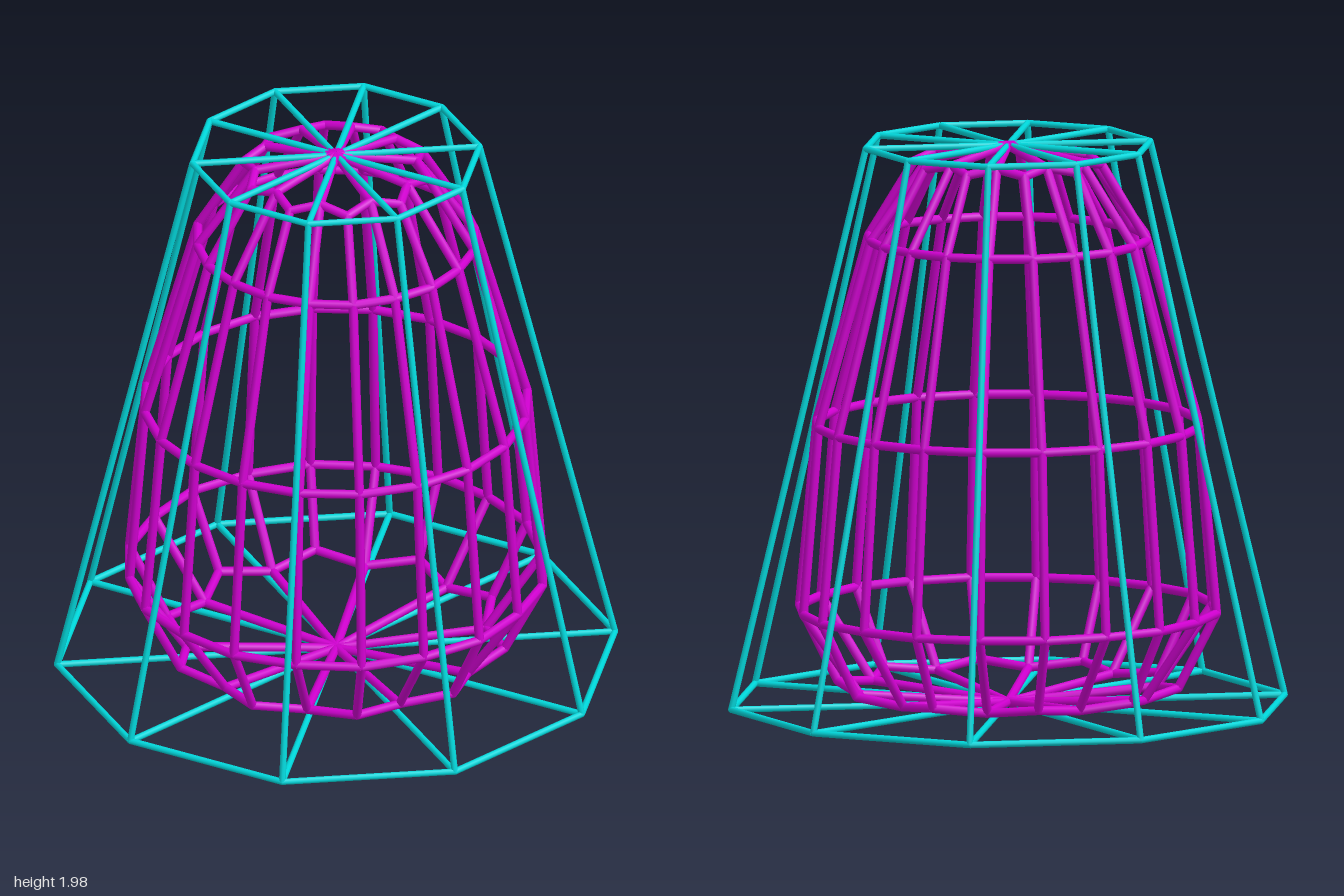
import * as THREE from 'three';
import { mergeGeometries } from 'three/addons/utils/BufferGeometryUtils.js';

const SIDES = 10;
const UP = new THREE.Vector3(0, 1, 0);

// Point on a ring: radius, height and step around the axis (half steps allowed)
function ringPoint([r, y], step) {
  const a = (step / SIDES) * Math.PI * 2;
  return new THREE.Vector3(r * Math.sin(a), y, r * Math.cos(a));
}

// Straight round bar between two points
function bar(a, b, radius) {
  const dir = b.clone().sub(a);
  const g = new THREE.CylinderGeometry(radius, radius, dir.length(), 8);
  g.applyQuaternion(new THREE.Quaternion().setFromUnitVectors(UP, dir.normalize()));
  return g.translate((a.x + b.x) / 2, (a.y + b.y) / 2, (a.z + b.z) / 2);
}

// Small ball that closes the gap where bars meet
function joint(p, radius) {
  return new THREE.SphereGeometry(radius, 8, 6).translate(p.x, p.y, p.z);
}

export function createModel() {
  const model = new THREE.Group();
  model.name = 'nestedCages';
  const teal = new THREE.MeshStandardMaterial({ color: 0x00d8dc });
  teal.name = 'turquoise';
  const magenta = new THREE.MeshStandardMaterial({ color: 0xd000d0 });
  magenta.name = 'magenta';

  const add = (name, geometries, material) => {
    const mesh = new THREE.Mesh(mergeGeometries(geometries), material);
    mesh.name = name;
    model.add(mesh);
  };

  // Outer cage: tapered ten-sided prism with spoked ends
  const T = 0.0115;
  const low = [0.972, 0.03], high = [0.5, 1.98];
  const posts = [];
  for (let k = 0; k < SIDES; k++) posts.push(bar(ringPoint(low, k), ringPoint(high, k), T));
  add('outerPosts', posts, teal);
  for (const [name, ring] of [['outerBase', low], ['outerTop', high]]) {
    const parts = [];
    const hub = new THREE.Vector3(0, ring[1], 0);
    for (let k = 0; k < SIDES; k++) {
      const p = ringPoint(ring, k);
      parts.push(bar(p, ringPoint(ring, k + 1), T), bar(hub, p, T), joint(p, T));
    }
    add(name, parts, teal);
  }

  // Inner cage rings, bottom to top: [at the posts], [between the posts]
  const M = 0.016;
  const rings = [
    [[0.521, 0.071], [0.594, 0.091]],
    [[0.719, 0.355], [0.728, 0.355]],
    [[0.666, 1.005], [0.667, 1.005]],
    [[0.483, 1.655], [0.487, 1.655]],
    [[0.282, 1.939], [0.327, 1.919]],
  ];
  const innerPoint = (i, j) => ringPoint(rings[i][j % 2], j / 2);
  const hoops = [], ribs = [];
  rings.forEach((_, i) => {
    for (let j = 0; j < SIDES * 2; j++) {
      const p = innerPoint(i, j);
      hoops.push(bar(p, innerPoint(i, j + 1), M), joint(p, M));
      if (i + 1 < rings.length) ribs.push(bar(p, innerPoint(i + 1, j), M));
    }
  });
  add('innerHoops', hoops, magenta);
  add('innerRibs', ribs, magenta);

  // Inner cage end spokes, meeting on the axis
  for (const [name, i, y] of [['innerBaseSpokes', 0, 0.03], ['innerTopSpokes', 4, 1.98]]) {
    const spokes = [];
    for (let k = 0; k < SIDES; k++) {
      spokes.push(bar(new THREE.Vector3(0, y, 0), innerPoint(i, k * 2), M));
    }
    add(name, spokes, magenta);
  }
  return model;
}
